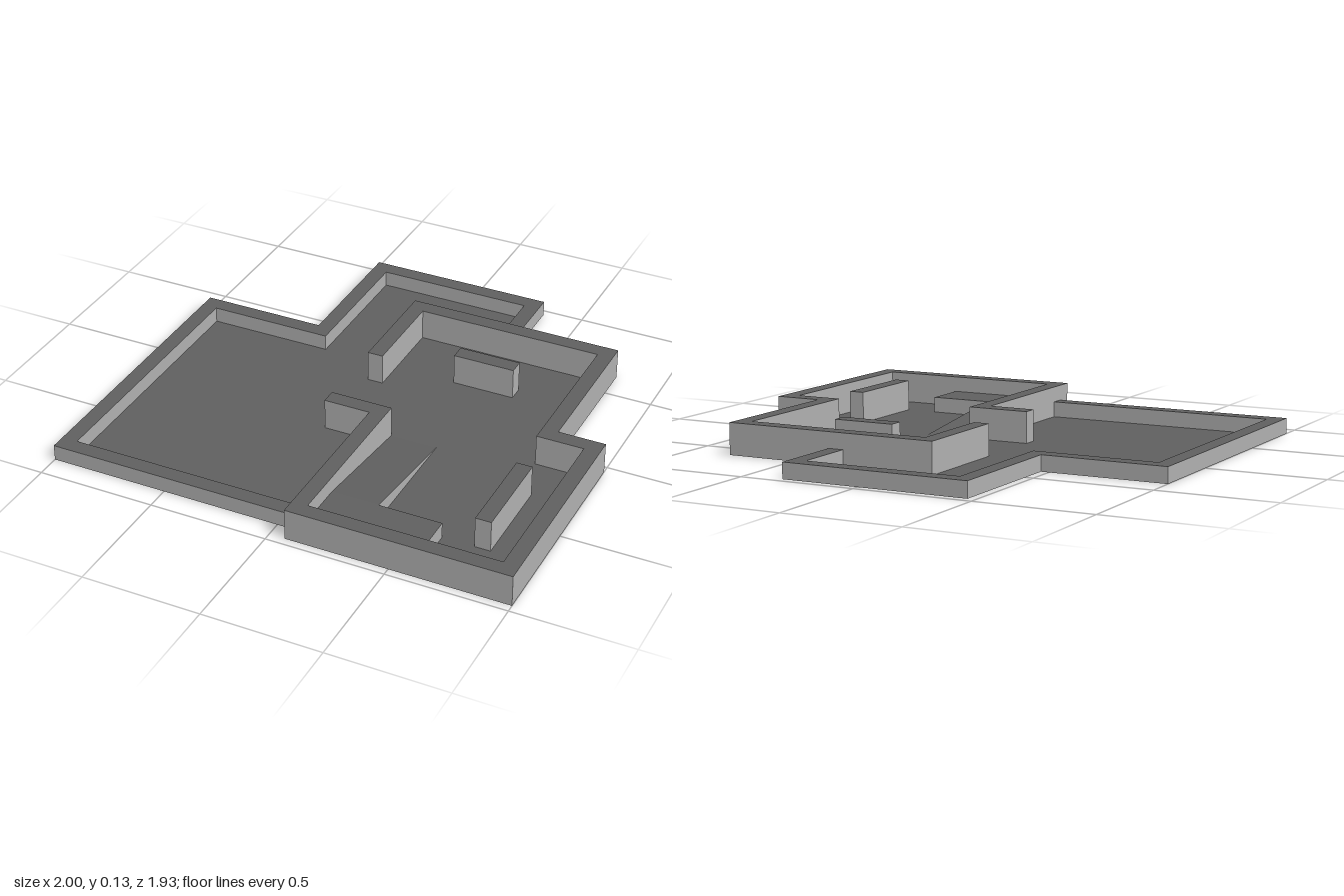
import * as THREE from 'three';

// Plans are drawn on a grid of 1/15 unit: x from -15 to 15, z from 0 (back) to 29 (front).
const U = 1 / 15;
const MID = 14.5;

const mat = (name, color) => {
  const m = new THREE.MeshStandardMaterial({ color, side: THREE.DoubleSide });
  m.name = name;
  return m;
};

// Plan points, ordered counter-clockwise seen from above
function plan(points) {
  const v = points.map(([x, z]) => new THREE.Vector2(x * U, (MID - z) * U));
  return THREE.ShapeUtils.isClockWise(v) ? v.reverse() : v;
}

// Flat horizontal face at a given height
function slab(points, height, holes = []) {
  const shape = new THREE.Shape(plan(points));
  holes.forEach((h) => shape.holes.push(new THREE.Path(plan(h))));
  return new THREE.ShapeGeometry(shape).rotateX(-Math.PI / 2).translate(0, height * U, 0);
}

// Flat faces from polygons of 3 or 4 corners
function faces(polygons) {
  const pos = [];
  for (const p of polygons) {
    for (let i = 1; i < p.length - 1; i++) pos.push(...p[0], ...p[i], ...p[i + 1]);
  }
  const g = new THREE.BufferGeometry();
  g.setAttribute('position', new THREE.Float32BufferAttribute(pos, 3));
  g.computeVertexNormals();
  return g;
}

// Upright faces around a plan outline
function sides(points, height) {
  const v = plan(points);
  const h = height * U;
  return faces(v.map((a, i) => {
    const b = v[(i + 1) % v.length];
    return [[a.x, 0, -a.y], [b.x, 0, -b.y], [b.x, h, -b.y], [a.x, h, -a.y]];
  }));
}

const rect = (x0, z0, x1, z1) => [[x0, z0], [x1, z0], [x1, z1], [x0, z1]];

export function createModel() {
  const model = new THREE.Group();
  model.name = 'roomPlan';
  const wallGrey = mat('wallGrey', 0xb0b0b0);
  const floorGrey = mat('floorGrey', 0x606060);

  const add = (parent, name, geometry, material) => {
    const mesh = new THREE.Mesh(geometry, material);
    mesh.name = name;
    parent.add(mesh);
  };

  // Wall: upright faces and a dark cap, hollow underneath
  const addWall = (name, outline, height) => {
    const wall = new THREE.Group();
    wall.name = name;
    add(wall, name + 'Sides', sides(outline, height), wallGrey);
    add(wall, name + 'Cap', slab(outline, height), floorGrey);
    model.add(wall);
  };

  // Tall wall around the main room, with a doorway on its right side
  addWall('tallWall', [
    [-2, 12], [-2, 5], [12, 5], [12, 15], [15, 15], [15, 29], [1, 29], [1, 18], [-2, 18],
    [-2, 17], [2, 17], [2, 28], [14, 28], [14, 16], [11, 16], [11, 6], [-1, 6], [-1, 12],
  ], 2);

  // Low wall around the outer yard
  addWall('lowWall', [
    [5, 5], [5, 0], [-7, 0], [-7, 9], [-15, 9], [-15, 28], [1, 28],
    [1, 27], [-14, 27], [-14, 10], [-6, 10], [-6, 1], [4, 1], [4, 5],
  ], 1);

  // Free-standing walls
  const backBlock = rect(3, 9, 7, 10);
  const sideBlock = rect(11, 19, 12, 25);
  addWall('backFreeWall', backBlock, 2);
  addWall('sideFreeWall', sideBlock, 2);

  // Floor between the walls, cut out beneath the free walls, ramp and platform
  add(model, 'floor', slab([
    [-14, 27], [1, 27], [1, 18], [-2, 18], [-2, 17], [5, 17], [5, 25], [9, 25], [9, 28],
    [14, 28], [14, 16], [11, 16], [11, 6], [-1, 6], [-1, 12], [-2, 12], [-2, 5], [4, 5],
    [4, 1], [-6, 1], [-6, 10], [-14, 10],
  ], 0, [backBlock, sideBlock]), floorGrey);

  // Ramp up to the corner platform
  const p = (x, y, z) => [x * U, y * U, (z - MID) * U];
  add(model, 'rampTop', faces([[p(2, 0, 17), p(2, 1, 25), p(5, 1, 25), p(5, 0, 17)]]), floorGrey);
  add(model, 'platformTop', slab(rect(2, 25, 9, 28), 1), floorGrey);
  add(model, 'rampAndPlatformSides', faces([
    [p(5, 0, 25), p(5, 0, 17), p(5, 1, 25)],
    [p(9, 0, 25), p(5, 0, 25), p(5, 1, 25), p(9, 1, 25)],
    [p(9, 0, 28), p(9, 0, 25), p(9, 1, 25), p(9, 1, 28)],
  ]), wallGrey);

  return model;
}
